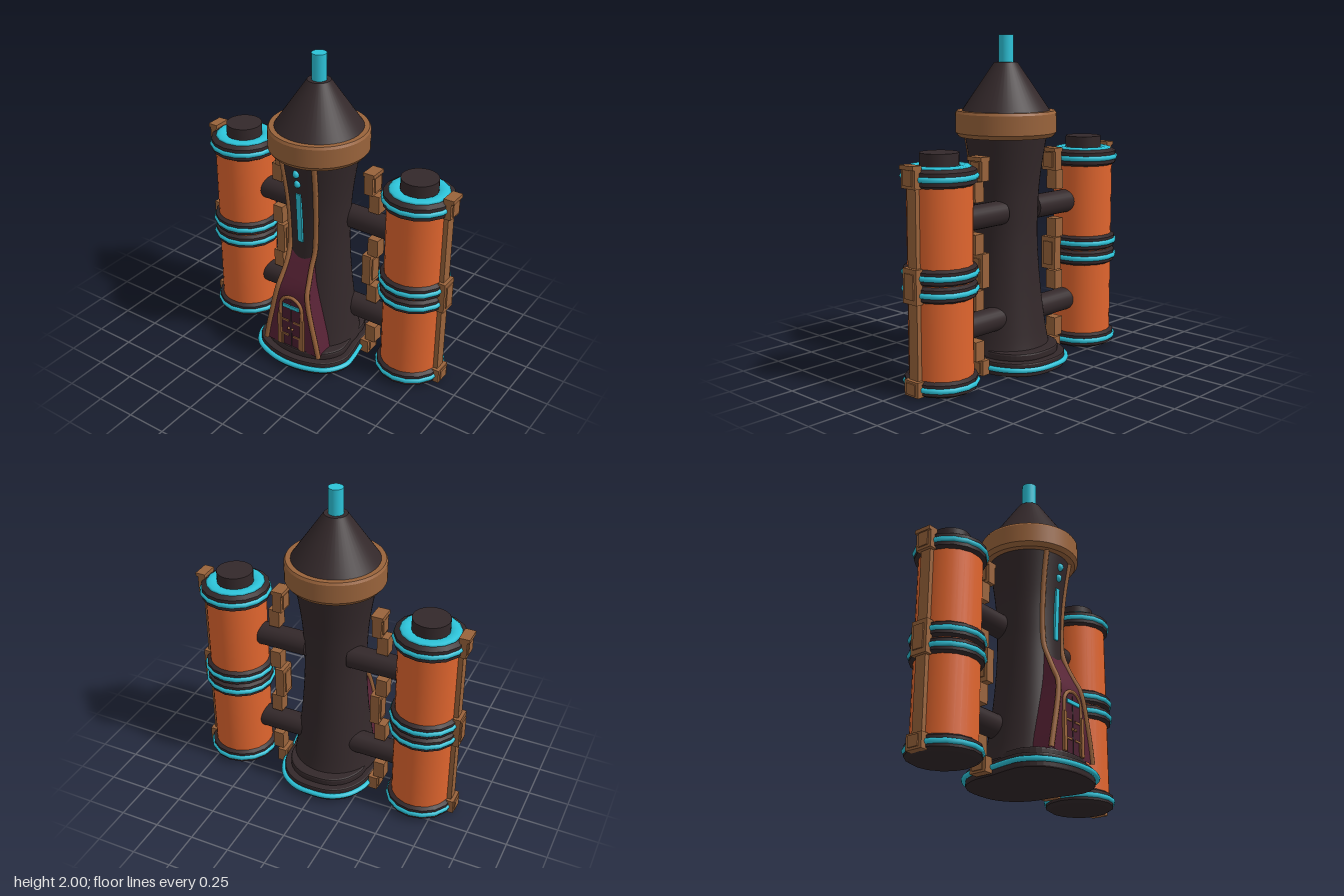
import * as THREE from 'three';

const mat = (name, color, opts = {}) => {
  const m = new THREE.MeshStandardMaterial({ color, ...opts });
  m.name = name;
  return m;
};

export function createModel() {
  const dark = mat('dark iron', 0x33282a);
  const orange = mat('orange tank', 0xe0652e);
  const bronze = mat('bronze', 0x99633b);
  const cyan = mat('cyan glow', 0x2cc3d9);
  const maroon = mat('maroon', 0x582235);
  const doorRed = mat('door maroon', 0x4a1f30);

  const root = new THREE.Group();
  root.name = 'towerWithTanks';
  const add = (name, geo, material, x = 0, y = 0, z = 0, parent = root) => {
    const m = new THREE.Mesh(geo, material);
    m.name = name;
    m.position.set(x, y, z);
    parent.add(m);
    return m;
  };
  const box = (w, h, d) => new THREE.BoxGeometry(w, h, d);
  const cyl = (r, h, n = 32, rb = r) => new THREE.CylinderGeometry(r, rb, h, n);
  const lathe = (pts, n = 40) => new THREE.LatheGeometry(pts.map(p => new THREE.Vector2(p[0], p[1])), n);
  const path = (pts, closed = false) =>
    new THREE.CatmullRomCurve3(pts.map(p => new THREE.Vector3(...p)), closed);

  // Tower shaft, collar, roof and spire
  const shaft = new THREE.SplineCurve([[0.27, 0.1], [0.25, 0.2], [0.222, 0.4], [0.203, 0.6], [0.193, 0.8],
    [0.195, 0.95], [0.203, 1.1], [0.222, 1.25], [0.25, 1.42]].map(p => new THREE.Vector2(...p)));
  add('shaft', new THREE.LatheGeometry(shaft.getPoints(28), 48), dark);
  // Doubled points keep the edges sharp
  add('collar', lathe([[0.2, 1.4], [0.285, 1.4], [0.285, 1.4], [0.304, 1.425], [0.304, 1.425], [0.304, 1.54],
    [0.304, 1.54], [0.295, 1.555], [0.295, 1.555], [0.2, 1.555]], 48), bronze);
  add('roof', cyl(0.07, 0.29, 48, 0.268), dark, 0, 1.695, 0);
  add('spire', cyl(0.045, 0.17, 20), cyan, 0, 1.915, 0);

  // Egg-shaped plinth: outline as [x, z] down the right half, then mirrored
  const half = [[0.12, -0.365], [0.22, -0.3], [0.285, -0.18], [0.297, -0.04], [0.32, 0.08], [0.325, 0.18],
    [0.26, 0.29], [0.14, 0.35]];
  const outline = path([[0, 0, -0.38], ...half.map(([x, z]) => [x, 0, z]), [0, 0, 0.37],
    ...half.slice().reverse().map(([x, z]) => [-x, 0, z])], true);
  const plinthLayer = (name, sx, sz, y, h, bevel) => {
    const shape = new THREE.Shape(outline.getPoints(64).slice(0, -1).map(p => new THREE.Vector2(p.x * sx, -p.z * sz)));
    const geo = new THREE.ExtrudeGeometry(shape, {
      depth: h - 2 * bevel, bevelThickness: bevel, bevelSize: bevel, bevelOffset: -bevel, bevelSegments: 2,
    });
    add(name, geo.rotateX(-Math.PI / 2), dark, 0, y + bevel, 0);
  };
  plinthLayer('plinth', 0.98, 0.97, 0, 0.085, 0.01);
  plinthLayer('plinthStep', 0.86, 0.86, 0.08, 0.05, 0.012);
  add('plinthGlowRing', new THREE.TubeGeometry(outline, 96, 0.016, 8, true), cyan, 0, 0.045, 0);

  // Porch: lofted from rows of [y, half width, front z]
  const rows = [[0.12, 0.2, 0.3], [0.22, 0.18, 0.302], [0.35, 0.15, 0.302], [0.48, 0.122, 0.298],
    [0.55, 0.108, 0.285], [0.62, 0.098, 0.25], [0.7, 0.09, 0.213], [0.76, 0.086, 0.18]];
  const loftStrip = (name, corner) => {
    const pos = [], idx = [];
    rows.forEach((r, i) => {
      corner(r).forEach(c => pos.push(...c));
      const a = 2 * i;
      if (i) idx.push(a - 2, a - 1, a + 1, a - 2, a + 1, a);
    });
    const geo = new THREE.BufferGeometry();
    geo.setAttribute('position', new THREE.Float32BufferAttribute(pos, 3));
    geo.setIndex(idx);
    geo.computeVertexNormals();
    add(name, geo, maroon);
  };
  loftStrip('porchFront', ([y, w, z]) => [[-w, y, z], [w, y, z]]);
  loftStrip('porchLeftSide', ([y, w, z]) => [[w, y, z], [w, y, 0.1]]);
  loftStrip('porchRightSide', ([y, w, z]) => [[-w, y, 0.1], [-w, y, z]]);

  // Bronze trims running up both edges of the front
  for (const s of [-1, 1]) {
    const pts = rows.slice(0, 7).map(([y, w, z]) => [s * w, y, z]);
    pts.push([s * 0.092, 0.8, 0.178], [s * 0.095, 0.95, 0.17], [s * 0.1, 1.1, 0.178],
      [s * 0.108, 1.25, 0.195], [s * 0.117, 1.41, 0.222]);
    add('frontTrim', new THREE.TubeGeometry(path(pts), 60, 0.016, 8), bronze);
  }

  // Glowing strip and lamps above the porch
  const strip = add('glowStrip', box(0.034, 0.335, 0.024), cyan, 0, 1.022, 0.199);
  strip.rotation.x = 0.05;
  for (const [y, z] of [[1.26, 0.222], [1.33, 0.235]]) {
    add('glowLamp', new THREE.SphereGeometry(0.021, 16, 12), cyan, 0, y, z).scale.y = 1.2;
  }

  // Arched double door
  const door = new THREE.Group();
  door.name = 'door';
  root.add(door);
  const leaf = new THREE.Shape();
  leaf.moveTo(-0.08, 0.13).lineTo(0.08, 0.13).lineTo(0.08, 0.42);
  leaf.absarc(0, 0.42, 0.08, 0, Math.PI, false);
  add('doorLeaves', new THREE.ExtrudeGeometry(leaf, { depth: 0.006, bevelEnabled: false }), doorRed, 0, 0, 0.301, door);
  const archPts = [[0.08, 0.13, 0]];
  for (let i = 0; i <= 8; i++) {
    const a = Math.PI * i / 8;
    archPts.push([0.08 * Math.cos(a), 0.42 + 0.08 * Math.sin(a), 0]);
  }
  archPts.push([-0.08, 0.13, 0]);
  add('doorArch', new THREE.TubeGeometry(path(archPts), 48, 0.011, 8), bronze, 0, 0, 0.306, door);
  add('doorSeam', box(0.006, 0.34, 0.004), dark, 0, 0.3, 0.308, door);
  add('doorLight', box(0.12, 0.024, 0.012), cyan, 0, 0.432, 0.309, door);
  for (const s of [-1, 1]) {
    add('doorJamb', box(0.026, 0.23, 0.022), bronze, s * 0.084, 0.245, 0.307, door);
    for (const y of [0.322, 0.212]) add('doorBar', box(0.05, 0.012, 0.008), bronze, s * 0.042, y, 0.309, door);
    add('doorPost', box(0.007, 0.08, 0.008), bronze, s * 0.062, 0.172, 0.309, door);
    add('doorKnob', new THREE.SphereGeometry(0.009, 10, 8), bronze, s * 0.014, 0.27, 0.316, door);
  }

  // Side tanks with bands, rails and connecting pipes
  const bracket = (s, x, y, h, w, parent) => {
    add('bracket', box(w, h, 0.11), bronze, s * x, y, 0, parent);
    add('bracketFace', box(w + 0.016, h * 0.72, 0.07), bronze, s * x, y, 0, parent);
  };
  for (const s of [-1, 1]) {
    const side = new THREE.Group();
    side.name = s > 0 ? 'leftTank' : 'rightTank';
    side.position.z = -0.088;
    root.add(side);
    const X = s * 0.635;
    add('tankBody', cyl(0.187, 1.24, 32), orange, X, 0.65, 0, side);
    for (const [y, h] of [[0.053, 0.095], [0.592, 0.098], [0.688, 0.098], [1.232, 0.105]]) {
      const t = h / 2;
      add('tankBand', lathe([[0, -t], [0.185, -t], [0.185, -t], [0.211, -t + 0.016], [0.211, -t + 0.016],
        [0.211, t - 0.016], [0.211, t - 0.016], [0.185, t], [0.185, t], [0, t]], 16), dark, X, y, 0, side);
      const ring = new THREE.TorusGeometry(0.205, 0.018, 8, 16).rotateX(Math.PI / 2);
      add('tankGlowRing', ring, cyan, X, y === 0.053 ? 0.052 : y, 0, side);
    }
    const topRing = new THREE.TorusGeometry(0.145, 0.036, 8, 16).rotateX(Math.PI / 2).scale(1, 0.35, 1);
    add('tankTopRing', topRing, cyan, X, 1.284, 0, side);
    add('tankCap', cyl(0.112, 0.08, 24), dark, X, 1.322, 0, side);

    // Outer rail with brackets
    add('outerRail', box(0.036, 1.22, 0.07), bronze, s * 0.829, 0.65, 0, side);
    for (const [y, h] of [[0.055, 0.09], [0.64, 0.2], [1.24, 0.12]]) bracket(s, 0.845, y, h, 0.046, side);
    add('outerRailCap', box(0.064, 0.024, 0.11), bronze, s * 0.85, 1.297, 0, side);

    // Inner rail pieces and brackets
    for (const y of [0.16, 0.467, 0.803, 1.108]) {
      add('innerRail', box(0.07, 0.118, 0.075), bronze, s * 0.357, y, 0, side);
    }
    for (const [y, h] of [[0.055, 0.09], [0.643, 0.205], [1.235, 0.13]]) bracket(s, 0.325, y, h, 0.058, side);
    add('innerRailCap', box(0.075, 0.024, 0.11), bronze, s * 0.325, 1.298, 0, side);

    for (const y of [0.317, 0.958]) {
      add('pipe', cyl(0.073, 0.34, 24).rotateZ(Math.PI / 2), dark, s * 0.31, y, 0, side);
    }
  }
  return root;
}
